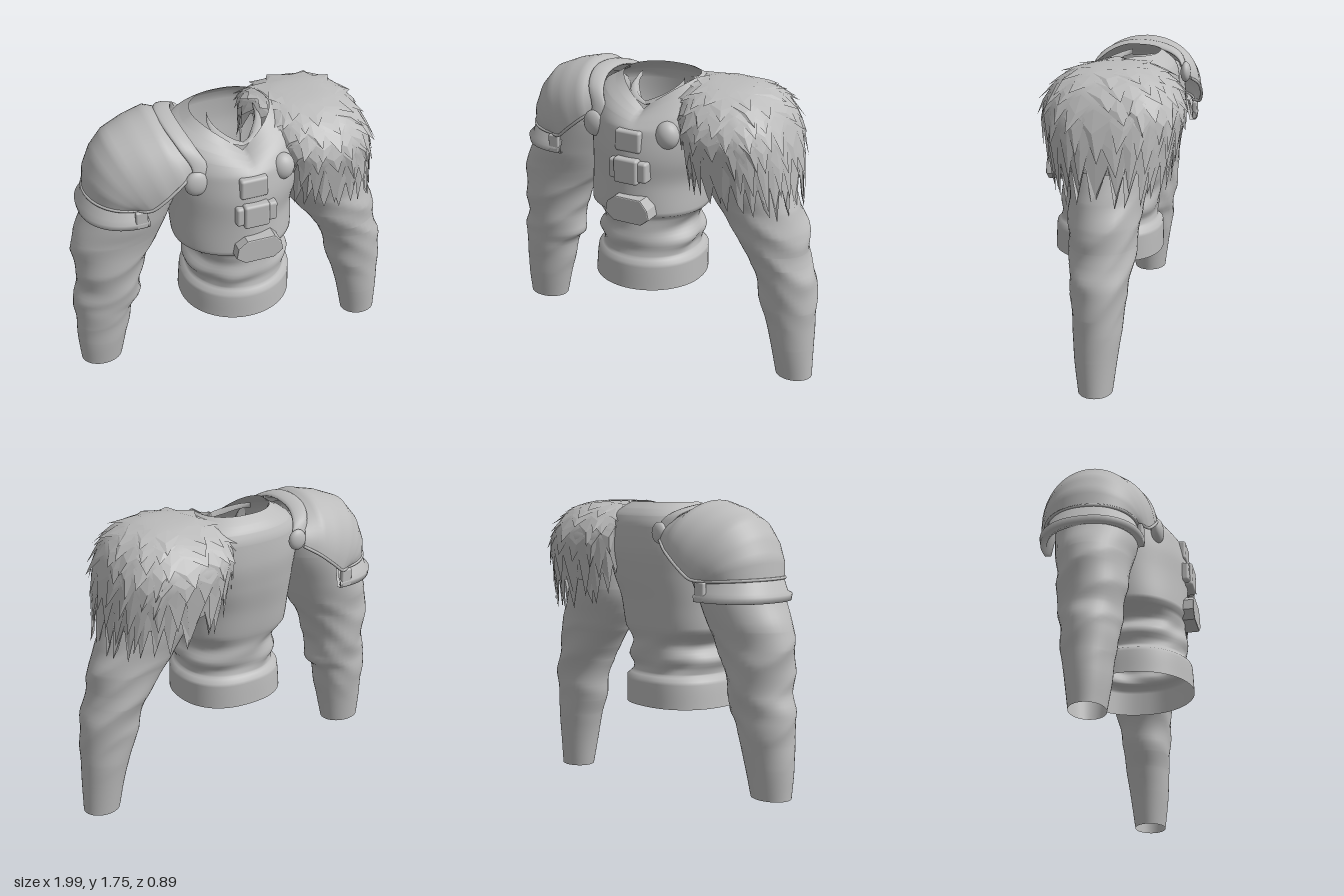
import * as THREE from 'three';
import { RoundedBoxGeometry } from 'three/addons/geometries/RoundedBoxGeometry.js';

const V = (x, y, z) => new THREE.Vector3(x, y, z);
const { lerp, smoothstep } = THREE.MathUtils;
const spow = (v, p) => Math.sign(v) * Math.abs(v) ** p;

// Skins a list of point rows; closed rows wrap round
function skin(rows, closed) {
  const n = rows[0].length, m = closed ? n : n - 1, idx = [];
  for (let i = 0; i < rows.length - 1; i++)
    for (let j = 0; j < m; j++) {
      const a = i * n + j, b = i * n + (j + 1) % n, c = a + n, d = b + n;
      idx.push(a, c, b, b, c, d);
    }
  const g = new THREE.BufferGeometry().setFromPoints(rows.flat());
  g.setIndex(idx);
  g.computeVertexNormals();
  return g;
}

// Smooth sampling, without overshoot, of key rows whose first entry is the height
function sample(keys, y) {
  let i = 0;
  while (i < keys.length - 2 && y > keys[i + 1][0]) i++;
  const span = keys[i + 1][0] - keys[i][0], t = (y - keys[i][0]) / span;
  const rate = (j, k) => (keys[j + 1][k] - keys[j][k]) / (keys[j + 1][0] - keys[j][0]);
  const slope = (j, k) => {
    if (j === 0 || j === keys.length - 1) return rate(Math.min(j, keys.length - 2), k);
    const a = rate(j - 1, k), b = rate(j, k);
    return a * b > 0 ? 2 * a * b / (a + b) : 0;
  };
  return keys[i].map((v, k) => {
    const e = t * t * (3 - 2 * t);
    return lerp(v, keys[i + 1][k], e) + span * (t * (1 - t) ** 2 * slope(i, k) - t * t * (1 - t) * slope(i + 1, k));
  });
}

// Tube of horizontal sections: [y, xMin, xMax, zBack, zFront]; power(y, a) shapes the section
function body(keys, rowsN, seg, power, fold, lift = () => 0) {
  const y0 = keys[0][0], y1 = keys[keys.length - 1][0], heights = keys.map(k => k[0]);
  for (let i = 1; i < rowsN; i++) heights.push(lerp(y0, y1, i / rowsN));
  heights.sort((a, b) => a - b);
  const rows = heights.filter((y, i) => !i || y - heights[i - 1] > 0.004).map(y => {
    const [, xa, xb, za, zb] = sample(keys, y);
    return Array.from({ length: seg }, (_, j) => {
      const a = j / seg * Math.PI * 2, f = 1 + fold(y, a), p = power(y, a);
      return V((xa + xb) / 2 + (xb - xa) / 2 * spow(Math.cos(a), p) * f, y + lift(y, a),
        (za + zb) / 2 + (zb - za) / 2 * spow(Math.sin(a), p) * f);
    });
  });
  return skin(rows, true);
}

export function createModel() {
  const group = new THREE.Group();
  const grey = new THREE.MeshStandardMaterial({ color: 0xbcbcbc, side: THREE.DoubleSide });
  grey.name = 'plain grey';
  const add = (name, geo, x = 0, y = 0, z = 0) => {
    const m = new THREE.Mesh(geo, grey);
    m.name = name;
    m.position.set(x, y, z);
    group.add(m);
    return m;
  };
  let seed = 7;
  const rnd = () => (seed = (seed * 16807) % 2147483647) / 2147483647;

  // Vest and tunic, with a neckline that dips to a V at the front
  const torso = [
    [0.54, -0.36, 0.30, -0.22, 0.43], [0.70, -0.345, 0.30, -0.215, 0.42], [0.73, -0.31, 0.265, -0.185, 0.395],
    [0.76, -0.31, 0.26, -0.18, 0.39], [0.82, -0.335, 0.285, -0.195, 0.40], [0.90, -0.295, 0.245, -0.195, 0.385],
    [0.98, -0.37, 0.29, -0.215, 0.385], [0.995, -0.39, 0.31, -0.22, 0.405], [1.16, -0.40, 0.32, -0.25, 0.405],
    [1.32, -0.41, 0.37, -0.285, 0.41], [1.48, -0.42, 0.40, -0.305, 0.385], [1.60, -0.40, 0.38, -0.30, 0.34],
    [1.66, -0.36, 0.34, -0.28, 0.30], [1.70, -0.29, 0.27, -0.245, 0.26], [1.735, -0.24, 0.21, -0.195, 0.215],
  ];
  const torsoPower = (y, a) => Math.sin(a) < 0 ? 0.85 : 1 + 0.13 * smoothstep(y, 0.95, 1.25);
  const tunicFold = (y, a) => 0.02 * Math.sin(a * 5 + y * 30 + Math.sin(a * 3)) * smoothstep(y, 0.72, 0.78) * (1 - smoothstep(y, 0.88, 0.98));
  const neckV = (y, a) => Math.sin(a) > 0 ? -0.16 * Math.max(0, (y - 1.5) / 0.235) * (1 - Math.abs(Math.cos(a))) : 0;
  add('vest', body(torso, 60, 72, torsoPower, tunicFold, neckV));

  // Folded collar flaps inside the neckline
  for (const s of [-1, 1]) {
    const outer = [], mid = [], inner = [];
    for (let i = 0; i <= 14; i++) {
      const t = i / 14, a = t * 2.05, w = 0.055 * Math.sin(Math.PI * (0.12 + 0.88 * t));
      const at = (r, y) => V(-0.01 + s * Math.sin(a) * r, y, 0.06 + Math.cos(a) * r);
      outer.push(at(0.155, 1.60 + 0.10 * t));
      mid.push(at(0.155 - w * 0.5, 1.62 + 0.10 * t));
      inner.push(at(0.155 - w, 1.59 + 0.10 * t));
    }
    add('collarFlap', skin([outer, mid, inner], false));
  }

  // Sleeves with slanting folds
  const sleeves = {
    leftSleeve: [[0, 0.77, 0.99, -0.095, 0.095], [0.2, 0.73, 0.99, -0.12, 0.12], [0.35, 0.69, 0.99, -0.14, 0.13],
      [0.45, 0.65, 0.99, -0.15, 0.14], [0.6, 0.62, 0.985, -0.17, 0.15], [0.72, 0.58, 0.945, -0.19, 0.165],
      [0.8, 0.52, 0.925, -0.2, 0.175], [0.92, 0.44, 0.915, -0.21, 0.185], [1.05, 0.34, 0.86, -0.225, 0.19],
      [1.2, 0.28, 0.8, -0.25, 0.215], [1.4, 0.27, 0.73, -0.26, 0.22], [1.58, 0.27, 0.6, -0.22, 0.18], [1.66, 0.28, 0.4, -0.1, 0.08]],
    rightSleeve: [[0.12, -0.98, -0.73, -0.105, 0.095], [0.3, -0.99, -0.69, -0.13, 0.12], [0.42, -0.99, -0.66, -0.15, 0.13],
      [0.53, -0.995, -0.64, -0.165, 0.145], [0.6, -0.995, -0.585, -0.17, 0.15], [0.72, -0.96, -0.585, -0.19, 0.165],
      [0.82, -0.97, -0.555, -0.2, 0.175], [0.95, -0.975, -0.5, -0.21, 0.185], [1.05, -0.96, -0.44, -0.225, 0.19],
      [1.2, -0.89, -0.38, -0.25, 0.215], [1.4, -0.8, -0.3, -0.27, 0.22], [1.58, -0.66, -0.28, -0.24, 0.18], [1.66, -0.45, -0.29, -0.1, 0.08]],
  };
  for (const [name, keys] of Object.entries(sleeves)) {
    const s = name === 'leftSleeve' ? 1 : -1;
    const fold = (y, a) => {
      const mask = smoothstep(y, 0.2, 0.6) * (1 - smoothstep(y, 0.95, 1.15));
      const ridge = 1 - 2 * Math.abs(Math.sin(y * 15 + s * 2.2 * Math.cos(a - 0.5) + 0.8 * Math.sin(2 * a + s)));
      return mask * (0.025 * ridge + 0.015 * Math.sin(3 * a + y * 17));
    };
    add(name, body(keys, 64, 40, () => 1, fold));
  }

  // Shoulder plate: arches described by [topX, topY, edgeX, edgeY, halfDepth]
  const arches = [
    [-0.36, 1.70, -0.30, 1.53, 0.29], [-0.47, 1.752, -0.38, 1.48, 0.33], [-0.60, 1.72, -0.48, 1.40, 0.335],
    [-0.73, 1.665, -0.56, 1.335, 0.315], [-0.81, 1.57, -0.60, 1.325, 0.295], [-0.86, 1.45, -0.62, 1.325, 0.28],
    [-0.87, 1.335, -0.63, 1.32, 0.265],
  ];
  const archPoint = ([tx, ty, ex, ey, d], t) => {
    const a = t * Math.PI / 2, c = Math.abs(Math.cos(a)) ** 0.95;
    return V(lerp(ex, tx, c), lerp(ey, ty, c), -0.045 + d * Math.sin(a));
  };
  const steps = Array.from({ length: 29 }, (_, i) => i / 14 - 1);
  const plateRows = [];
  for (let i = 0; i <= 24; i++) {
    const f = i / 24 * (arches.length - 1), k = Math.min(Math.floor(f), arches.length - 2);
    const arch = arches[k].map((v, j) => lerp(v, arches[k + 1][j], f - k));
    plateRows.push(steps.map(t => archPoint(arch, t)));
  }
  add('shoulderPlate', skin(plateRows, false));
  const tube = (name, pts, r) => add(name, new THREE.TubeGeometry(new THREE.CatmullRomCurve3(pts), 50, r, 8));
  for (const t of [-1, 1]) tube('plateRim', arches.map(a => archPoint(a, t)), 0.009);
  tube('plateOuterRim', steps.map(t => archPoint(arches[6], t)), 0.009);

  // Flared lower band of the shoulder plate
  const bandProfile = [[0.225, 1.335], [0.25, 1.33], [0.272, 1.26], [0.297, 1.245], [0.292, 1.21], [0.255, 1.205], [0.225, 1.335]];
  add('shoulderBand', skin(bandProfile.map(([r, y]) => Array.from({ length: 33 }, (_, i) => {
    const a = (i / 32 - 0.5) * Math.PI * 1.1;
    return V(-0.62 - r * spow(Math.cos(a), 0.95), y, -0.045 + r * spow(Math.sin(a), 0.9));
  })), false));
  for (const z of [0.235, -0.325]) add('bandStrap', new RoundedBoxGeometry(0.07, 0.11, 0.03, 2, 0.01), -0.615, 1.265, z);

  // Flat strap between neck and plate, with knotted ends
  const strap = new THREE.CatmullRomCurve3([V(-0.31, 1.43, 0.28), V(-0.275, 1.53, 0.27), V(-0.33, 1.645, 0.21),
    V(-0.37, 1.71, 0.08), V(-0.37, 1.71, -0.12), V(-0.32, 1.66, -0.26), V(-0.27, 1.57, -0.31)]);
  const strapRows = strap.getPoints(40).map(p => Array.from({ length: 12 }, (_, j) => {
    const a = j / 12 * Math.PI * 2, out = V(0.3, p.y - 1.4, p.z).normalize();
    return p.clone().add(V(Math.cos(a) * 0.05, -Math.cos(a) * 0.01, 0)).addScaledVector(out, Math.sin(a) * 0.018);
  }));
  add('shoulderStrap', skin(strapRows, true));
  add('strapKnot', new THREE.SphereGeometry(0.07, 20, 14), -0.305, 1.46, 0.275).scale.set(1, 1.1, 0.55);
  add('strapKnot', new THREE.SphereGeometry(0.055, 20, 14), -0.27, 1.57, -0.31).scale.set(1, 1.1, 0.55);

  // Fur mantle: surface point at angle a, from crown (v = 0) to hem (v = 1); it spreads towards the spine
  const fur = (a, v, out = 0) => {
    const c = spow(Math.cos(a), 0.82), s = spow(Math.sin(a), 0.82), w = Math.min(v, 1), q = w * Math.PI / 2;
    const hemY = 1.17 - 0.06 * Math.max(c, 0) + 0.42 * Math.max(-c, 0) ** 4;
    const r = Math.sin(q) ** 0.64, taper = 1 - 0.29 * smoothstep(v, 0.68, 1.15);
    const rx = c > 0 ? 0.365 + out : (0.30 + 0.16 * Math.max(-s, 0) + out) * lerp(taper, 1, c * c);
    return V(lerp(0.38, 0.46, r) + rx * r * c, hemY + (1.735 - hemY) * Math.max(Math.cos(q), 0) ** 0.58 - Math.max(v - 1, 0) * 0.5 + out * (1 - w),
      -0.02 + (0.415 + out) * r ** 1.1 * s * taper);
  };
  const furRows = [];
  for (let i = 0; i <= 20; i++) furRows.push(Array.from({ length: 48 }, (_, j) => fur(j / 48 * Math.PI * 2, i / 20 * 0.97)));
  add('furMantle', skin(furRows, true));

  // Broad overlapping pointed tufts laid in rows over the mantle
  const verts = [];
  const tri = (...p) => p.forEach(q => verts.push(q.x, q.y, q.z));
  for (let row = 0; row < 7; row++) {
    const v = 0.2 + row * 0.12, count = 9 + row * 3;
    for (let j = 0; j < count; j++) {
      const a = (j + (row % 2) / 2 + rnd() * 0.4) / count * Math.PI * 2;
      const w = Math.PI / count * 1.1, len = 0.17 + rnd() * 0.09;
      const l = fur(a - w, v + 0.02, 0.003), r = fur(a + w, v + 0.02, 0.003), top = fur(a, v - 0.06, 0.003);
      const mid = fur(a, v + len * 0.45, 0.01), tip = fur(a + (rnd() - 0.5) * w, v + len, 0.018 + rnd() * 0.02);
      tri(top, mid, l);
      tri(top, r, mid);
      tri(l, mid, tip);
      tri(mid, r, tip);
    }
  }
  const tufts = new THREE.BufferGeometry();
  tufts.setAttribute('position', new THREE.Float32BufferAttribute(verts, 3));
  tufts.computeVertexNormals();
  add('furTufts', tufts);
  add('furFastener', new THREE.SphereGeometry(0.07, 24, 16), 0.185, 1.48, 0.305).scale.set(1, 1.15, 0.9);

  // Chest clasps and belt buckle: [width, height, depth, x, y, z]
  const clasps = [
    ['upperClasp', 0.16, 0.125, 0.06, -0.015, 1.44, 0.38], ['middleClaspStrap', 0.24, 0.12, 0.08, -0.005, 1.275, 0.39],
    ['middleClasp', 0.15, 0.15, 0.08, -0.01, 1.275, 0.407],
  ];
  for (const [name, w, h, d, x, y, z] of clasps) add(name, new RoundedBoxGeometry(w, h, d, 3, 0.016), x, y, z);
  const shape = new THREE.Shape([[-0.13, -0.03], [-0.08, -0.07], [0.09, -0.07], [0.14, -0.03], [0.13, 0.02], [0.09, 0.07], [-0.07, 0.07], [-0.12, 0.03]]
    .map(p => new THREE.Vector2(...p)));
  add('beltBuckle', new THREE.ExtrudeGeometry(shape, { depth: 0.085, bevelSize: 0.006, bevelThickness: 0.01, bevelSegments: 2 }), 0, 1.045, 0.36);
  return group;
}
